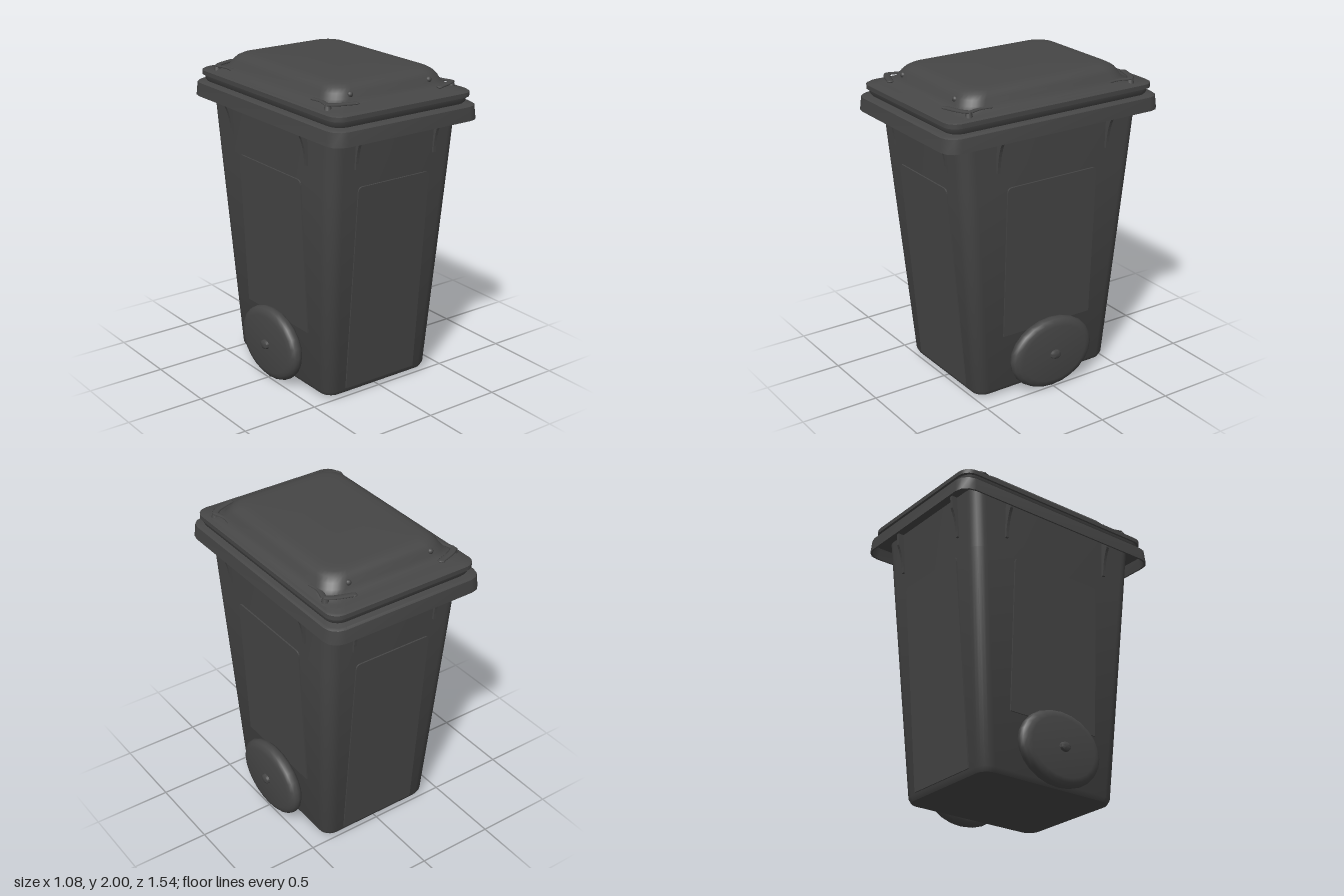
import * as THREE from 'three';
import { toCreasedNormals } from 'three/addons/utils/BufferGeometryUtils.js';

const plastic = new THREE.MeshStandardMaterial({ color: 0x464646 });
plastic.name = 'charcoal plastic';

function part(name, geometry, parent) {
  const mesh = new THREE.Mesh(geometry, plastic);
  mesh.name = name;
  parent.add(mesh);
  return mesh;
}

// Rounded rectangle ring: half width, half depth, corner radius
function ring([y, hx, hz, r, cx = 0], segs) {
  const pts = [];
  for (let q = 0; q < 4; q++) {
    const sx = q === 0 || q === 3 ? 1 : -1, sz = q < 2 ? 1 : -1;
    for (let i = 0; i <= segs; i++) {
      const a = (q + i / segs) * Math.PI / 2;
      pts.push([cx + sx * (hx - r) + r * Math.cos(a), y, sz * (hz - r) + r * Math.sin(a)]);
    }
  }
  return pts;
}

// Skin a stack of rounded rectangles, with optional end caps
function loft(sections, segs, capBottom, capTop, crease = 0.6) {
  const rings = sections.map((s) => ring(s, segs));
  const n = rings[0].length, pos = [];
  const tri = (a, b, c) => pos.push(...a, ...b, ...c);
  for (let k = 0; k < rings.length - 1; k++) {
    for (let j = 0; j < n; j++) {
      const a = rings[k][j], b = rings[k][(j + 1) % n];
      const c = rings[k + 1][j], d = rings[k + 1][(j + 1) % n];
      tri(a, c, b);
      tri(b, c, d);
    }
  }
  const cap = (r, s, up) => r.forEach((p, j) => {
    const q = r[(j + 1) % n], c = [s[4] || 0, s[0], 0];
    if (up) tri(c, q, p); else tri(c, p, q);
  });
  if (capBottom) cap(rings[0], sections[0], false);
  if (capTop) cap(rings[rings.length - 1], sections[sections.length - 1], true);
  const g = new THREE.BufferGeometry();
  g.setAttribute('position', new THREE.Float32BufferAttribute(pos, 3));
  return toCreasedNormals(g, crease);
}

// Thin raised panel with rounded corners, standing on its lower edge
function panelGeometry(halfWidth, height) {
  const r = 0.03, s = new THREE.Shape();
  s.moveTo(-halfWidth, 0);
  s.lineTo(halfWidth, 0);
  s.lineTo(halfWidth, height - r);
  s.quadraticCurveTo(halfWidth, height, halfWidth - r, height);
  s.lineTo(-halfWidth + r, height);
  s.quadraticCurveTo(-halfWidth, height, -halfWidth, height - r);
  return new THREE.ExtrudeGeometry(s, { depth: 0.014, bevelEnabled: false, curveSegments: 4 });
}

// Curved gusset under the rim; wall(y) gives the outward wall position
function gussetGeometry(wall) {
  const s = new THREE.Shape(), d = wall(1.51);
  s.moveTo(d - 0.02, 1.51);
  s.lineTo(d + 0.012, 1.51);
  s.quadraticCurveTo(d + 0.018, 1.63, d + 0.055, 1.70);
  s.lineTo(d + 0.06, 1.78);
  s.lineTo(d - 0.02, 1.78);
  const g = new THREE.ExtrudeGeometry(s, { depth: 0.02, bevelEnabled: false, curveSegments: 6 });
  g.translate(0, 0, -0.01);
  return g;
}

// Flattened strip following a curve
function stripGeometry(points, radius) {
  const mid = points[1][1];
  const curve = new THREE.CatmullRomCurve3(points.map((p) => new THREE.Vector3(p[0], 0, p[2])));
  const g = new THREE.TubeGeometry(curve, 10, radius, 8, false);
  g.scale(1, 0.35, 1);
  g.translate(0, mid, 0);
  return g;
}

export function createModel() {
  const bin = new THREE.Group();
  bin.name = 'wheeledBin';

  // Tapered container
  part('body', loft([
    [0.015, 0.36, 0.46, 0.06], [0.022, 0.385, 0.485, 0.075], [0.05, 0.40, 0.50, 0.085],
    [1.40, 0.462, 0.615, 0.085], [1.78, 0.478, 0.647, 0.085],
  ], 6, true, false), bin);

  // Overhanging rim with a hollow skirt
  part('rim', loft([
    [1.78, 0.47, 0.64, 0.08], [1.78, 0.52, 0.75, 0.085], [1.705, 0.53, 0.76, 0.09],
    [1.705, 0.54, 0.77, 0.09], [1.79, 0.533, 0.763, 0.09], [1.80, 0.52, 0.75, 0.09],
  ], 3, false, true), bin);

  // Lid with a stepped flange and a domed centre
  const lid = new THREE.Group();
  lid.name = 'lid';
  bin.add(lid);
  part('lidFlange', loft([
    [1.79, 0.48, 0.70, 0.08], [1.812, 0.495, 0.715, 0.08], [1.838, 0.50, 0.72, 0.08],
    [1.841, 0.51, 0.733, 0.08], [1.868, 0.51, 0.733, 0.08], [1.876, 0.50, 0.72, 0.08],
  ], 5, true, true), lid);
  part('lidDome', loft([
    [1.87, 0.495, 0.70, 0.09], [1.882, 0.475, 0.65, 0.1], [1.895, 0.452, 0.60, 0.11, 0.004],
    [1.92, 0.43, 0.58, 0.12, 0.006], [1.95, 0.415, 0.565, 0.12, 0.007], [1.975, 0.395, 0.543, 0.12, 0.007],
    [1.99, 0.37, 0.515, 0.11, 0.007], [1.997, 0.34, 0.48, 0.1, 0.007], [2.0, 0.29, 0.43, 0.09, 0.007],
  ], 7, false, true, 0.9), lid);

  // Grip strips and small nubs at every lid corner
  for (const sx of [-1, 1]) {
    for (const sz of [-1, 1]) {
      const at = (x, y, z) => [sx * x, y, sz * z];
      part('endGrip', stripGeometry([at(0.46, 1.908, 0.575), at(0.42, 1.908, 0.605), at(0.31, 1.908, 0.645)], 0.022), lid);
      part('sideGrip', stripGeometry([at(0.445, 1.908, 0.42), at(0.437, 1.908, 0.49), at(0.46, 1.908, 0.575)], 0.018), lid);
      const tip = part('gripTip', new THREE.SphereGeometry(0.022, 10, 8), lid);
      tip.position.set(sx * 0.31, 1.908, sz * 0.645);
      tip.scale.y = 0.35;
      const post = part('gripPost', new THREE.CylinderGeometry(0.016, 0.025, 0.035, 8), lid);
      post.position.set(sx * 0.455, 1.893, sz * 0.58);
      const nub = part('lidNub', new THREE.SphereGeometry(0.018, 10, 8), lid);
      nub.position.set(sx * 0.29, 1.94, sz * 0.566);
    }
  }

  // Panels and gussets on the four walls
  const slopes = [
    { name: 'end', base: 0.496, slope: 0.0855, halfWidth: 0.265, y0: 0.06, gusset: 0.29 },
    { name: 'side', base: 0.398, slope: 0.0465, halfWidth: 0.325, y0: 0.41, gusset: 0.395 },
  ];
  for (let k = 0; k < 4; k++) {
    const f = slopes[k % 2];
    const wall = (y) => f.base + f.slope * y;
    const face = new THREE.Group();
    face.name = f.name + 'Wall';
    face.rotation.y = k * Math.PI / 2;
    bin.add(face);
    const panel = part(f.name + 'Panel', panelGeometry(f.halfWidth, 1.40 - f.y0), face);
    panel.position.set(0, f.y0, wall(f.y0) - 0.006);
    panel.rotation.x = Math.atan(f.slope);
    for (const s of [-1, 1]) {
      const gusset = part(f.name + 'Gusset', gussetGeometry(wall), face);
      gusset.rotation.y = -Math.PI / 2;
      gusset.position.x = s * f.gusset;
    }
  }

  // Wheels, stretched front to back, with hub bosses
  const profile = [
    [0, -0.045], [0.18, -0.045], [0.212, -0.038], [0.23, -0.018], [0.235, 0.005], [0.228, 0.028],
    [0.21, 0.043], [0.185, 0.049], [0.03, 0.052], [0.027, 0.068], [0.015, 0.075], [0, 0.075],
  ].map(([r, h]) => new THREE.Vector2(r, h));
  for (const s of [-1, 1]) {
    const wheel = part('wheel', toCreasedNormals(new THREE.LatheGeometry(profile, 24), 0.7), bin);
    wheel.rotation.z = -s * Math.PI / 2;
    wheel.scale.z = 1.28;
    wheel.position.set(s * 0.465, 0.235, 0);
  }
  const axle = part('axle', new THREE.CylinderGeometry(0.025, 0.025, 0.9, 12), bin);
  axle.rotation.z = Math.PI / 2;
  axle.position.y = 0.235;

  return bin;
}
